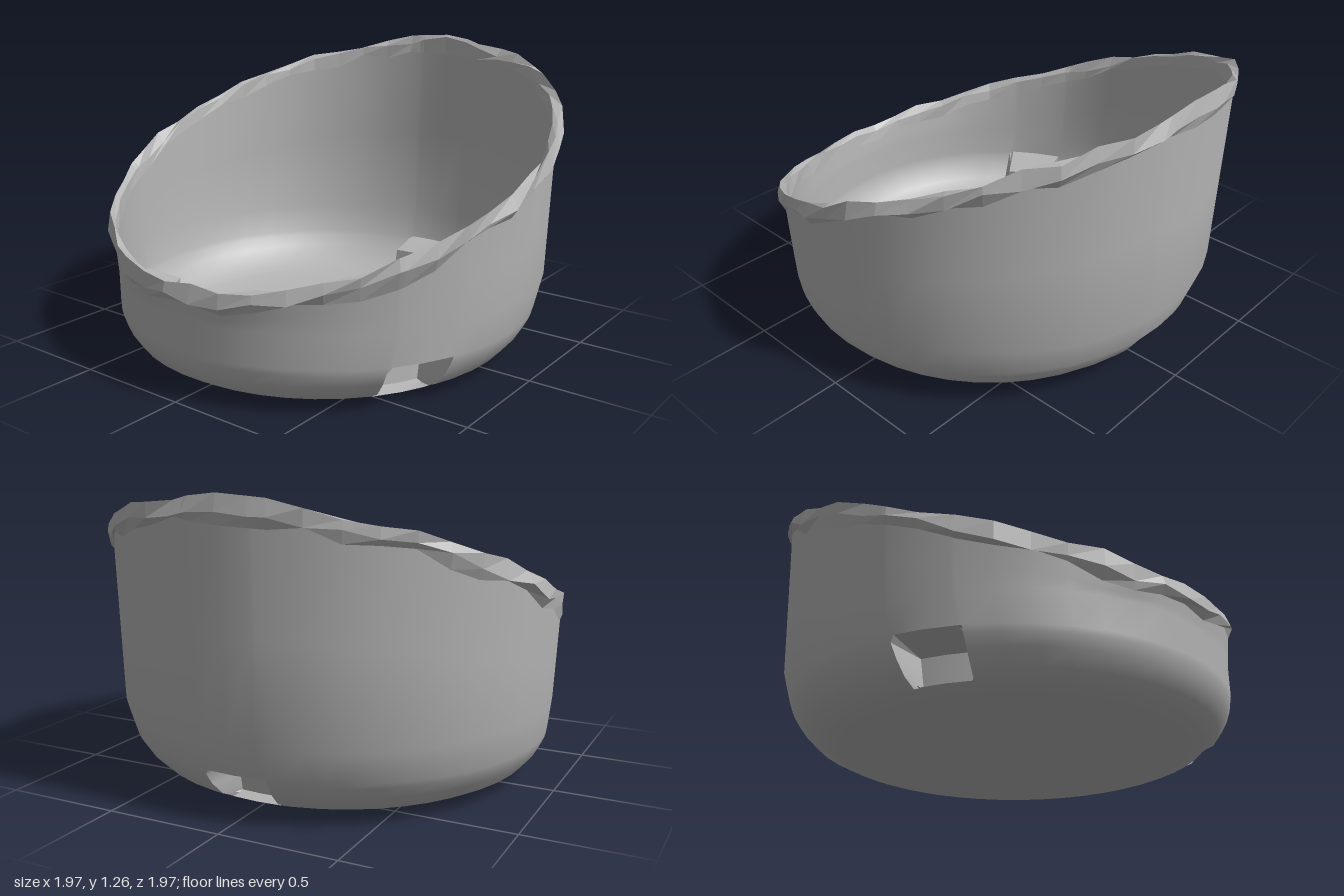
import * as THREE from 'three';
import { toCreasedNormals } from 'three/addons/utils/BufferGeometryUtils.js';

const TAU = Math.PI * 2;
const CHIPS = 46; // facets around the rough rim

// Columns around the bowl: an even ring plus exact edges for the three pockets
const POCKETS = [Math.PI / 6, Math.PI * 5 / 6, Math.PI * 3 / 2];
const HALF = 0.13, EDGE = 0.15;
const fromPocket = (a) => Math.min(...POCKETS.map((p) => Math.abs(a - p)));
const angles = [];
for (let i = 0; i < CHIPS; i++) {
  const a = (i / CHIPS) * TAU;
  if (fromPocket(a) > EDGE + 0.01) angles.push(a);
}
for (const p of POCKETS) angles.push(p - EDGE, p - HALF, p, p + HALF, p + EDGE);
angles.sort((a, b) => a - b);

// Lower wall profile: radius, height
const PROFILE = [
  [0, 0], [0.66, 0], [0.76, 0.02], [0.785, 0.03], [0.8, 0.04], [0.84, 0.06],
  [0.89, 0.12], [0.915, 0.17], [0.923, 0.195], [0.945, 0.33],
];

// Rim cross-section: radius, offset from rim height, radial and vertical roughness
const RIM = [
  [0.963, -0.085, 0.003, 0.03], [0.983, -0.055, 0.014, 0.02], [0.975, 0, 0.014, 0.016],
  [0.95, -0.02, 0.008, 0.018], [0.943, -0.07, 0.003, 0.025],
];

// Repeatable roughness, linear between chips
function hash(i, k) {
  const s = Math.sin((i % CHIPS) * 127.1 + k * 311.7 + 4.2) * 43758.5453;
  return (s - Math.floor(s)) * 2 - 1;
}
function rough(a, k) {
  const t = (a / TAU) * CHIPS, i = Math.floor(t);
  return THREE.MathUtils.lerp(hash(i, k), hash(i + 1, k), t - i);
}

// The base sits a little further forward than the rim
function place(a, r, y) {
  const shift = Math.max(0.005, 0.08 - 0.2 * y);
  return [r * Math.cos(a), y, r * Math.sin(a) + shift * Math.min(1, r * 2)];
}

// Slanted rim, low at the front and high at the back
function rimPoint(a, k) {
  const [r, dy, jr, jy] = RIM[k];
  const peak = 0.025 * Math.exp(-(((a - Math.PI * 1.5) / 0.2) ** 2));
  const height = 0.853 - 0.38 * Math.sin(a) + peak;
  return place(a, r + jr * rough(a, k), height + dy + jy * rough(a, k + 9));
}

// One wall column from floor centre to the underside of the rim
function wallColumn(a, thickness, rimIndex) {
  const inPocket = fromPocket(a) < HALF + 0.005;
  const column = PROFILE.map(([r, y]) => {
    const pushed = inPocket && y > 0.035 && y < 0.18;
    const radius = pushed ? 0.74 : r;
    const lift = thickness * Math.max(0, 1 - y * 3) * 0.7;
    return place(a, Math.max(0, radius - thickness), y + lift);
  });
  const low = column[column.length - 1], top = rimPoint(a, rimIndex);
  for (const t of [0.5, 1]) column.push(low.map((v, i) => v + (top[i] - v) * t));
  return column;
}

// Skin a closed ring of columns
function loft(columns) {
  const n = columns[0].length, index = [];
  const same = (p, q) => columns[0][0].length && Math.hypot(
    ...columns[Math.floor(p / n)][p % n].map((v, i) => v - columns[Math.floor(q / n)][q % n][i])) < 1e-6;
  const tri = (a, b, c) => {
    if (!same(a, b) && !same(b, c) && !same(a, c)) index.push(a, b, c);
  };
  columns.forEach((_, i) => {
    const next = (i + 1) % columns.length;
    for (let j = 0; j < n - 1; j++) {
      const a = i * n + j, b = a + 1, c = next * n + j, d = c + 1;
      tri(a, b, c);
      tri(b, d, c);
    }
  });
  const g = new THREE.BufferGeometry();
  g.setAttribute('position', new THREE.Float32BufferAttribute(columns.flat(2), 3));
  g.setIndex(index);
  return g;
}

export function createModel() {
  const group = new THREE.Group();
  group.name = 'slantedBowl';
  const grey = new THREE.MeshStandardMaterial({ color: 0xb4b4b4, side: THREE.DoubleSide });
  grey.name = 'plainGrey';

  const add = (name, geometry) => {
    const mesh = new THREE.Mesh(geometry, grey);
    mesh.name = name;
    group.add(mesh);
  };

  // Smooth walls with three pockets pushed in near the base
  add('outerWall', toCreasedNormals(loft(angles.map((a) => wallColumn(a, 0, 0))), 0.65));
  add('innerWall', toCreasedNormals(loft(angles.map((a) => wallColumn(a, 0.02, 4).reverse())), 0.65));

  // Rough, faceted rim
  const rim = loft(angles.map((a) => RIM.map((_, k) => rimPoint(a, k)))).toNonIndexed();
  rim.computeVertexNormals();
  add('chippedRim', rim);

  // Stand on the ground and centre
  const box = new THREE.Box3().setFromObject(group);
  const c = box.getCenter(new THREE.Vector3());
  group.children.forEach((m) => m.geometry.translate(-c.x, -box.min.y, -c.z));
  return group;
}
